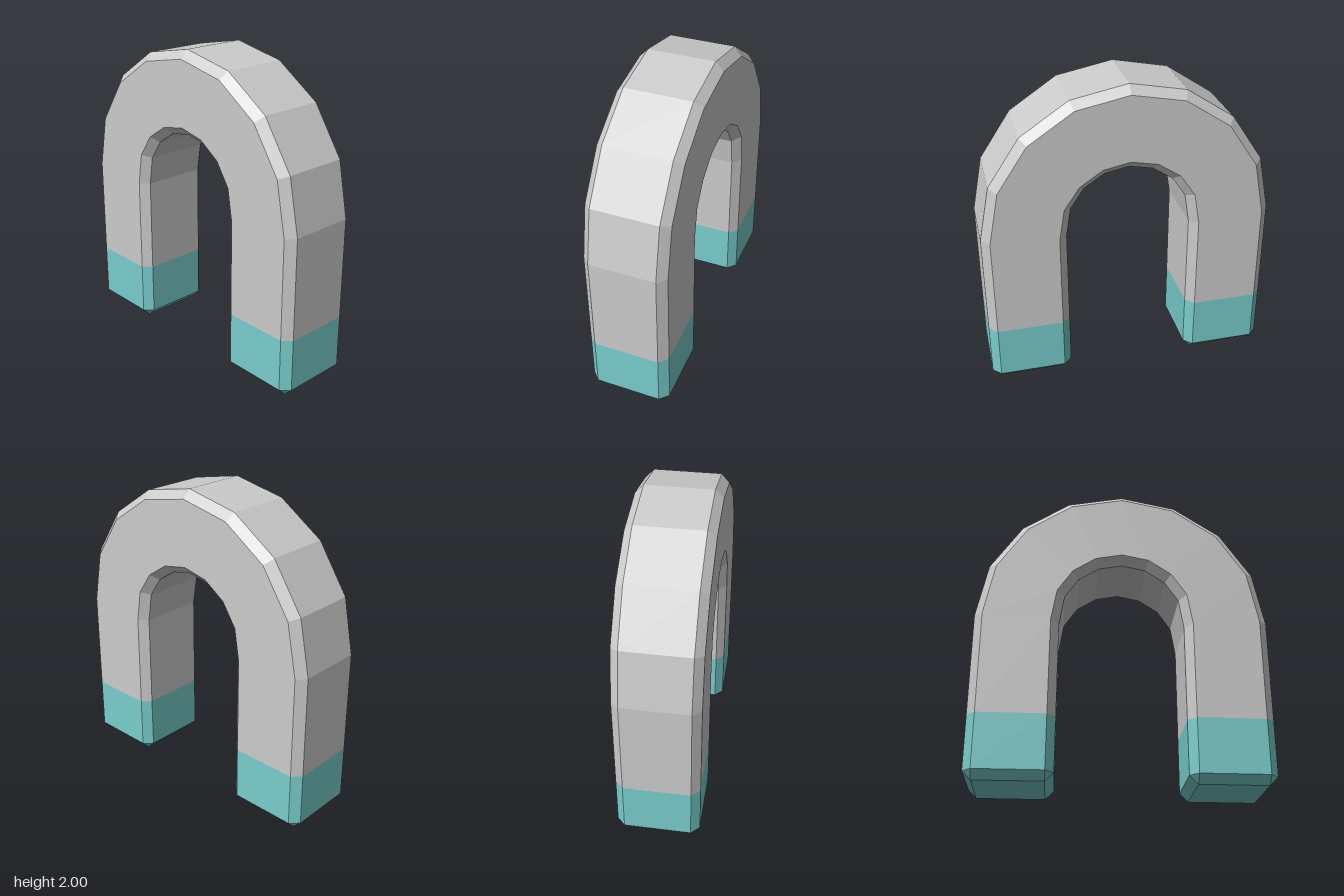
import * as THREE from 'three';

const INNER = 0.40, OUTER = 0.935, DEPTH = 0.267, BEVEL = 0.053;
const CENTER_Y = 1.065, TIP_Y = 0.4, ARC_STEPS = 8;

// Bevelled cross-section as [r, z], r measured from the arch centre
function section() {
  const i = INNER, o = OUTER, d = DEPTH, b = BEVEL;
  return [
    [i + b, d], [o - b, d], [o, d - b], [o, b - d],
    [o - b, -d], [i + b, -d], [i, b - d], [i, d - b],
  ];
}

// The same section shrunk to the plain rectangle of the foot
function footSection() {
  return section().map(([r, z]) => [
    THREE.MathUtils.clamp(r, INNER + BEVEL, OUTER - BEVEL),
    THREE.MathUtils.clamp(z, BEVEL - DEPTH, DEPTH - BEVEL),
  ]);
}

const legRing = (y, side, pts = section()) => pts.map(([r, z]) => new THREE.Vector3(side * r, y, z));

// Ring where a straight leg meets the arch, slightly lower on the inside
const shoulderRing = (side) => section().map(([r, z]) =>
  new THREE.Vector3(side * r, CENTER_Y - 0.04 * (OUTER - r) / (OUTER - INNER), z));

const arcRing = (a) => section().map(([r, z]) =>
  new THREE.Vector3(r * Math.cos(a), CENTER_Y + r * Math.sin(a), z));

// Skin consecutive rings, optionally closing the first one
function loft(rings, capStart = false) {
  const positions = [];
  const tri = (a, b, c) => {
    if (new THREE.Triangle(a, b, c).getArea() > 1e-8) {
      for (const p of [a, b, c]) positions.push(p.x, p.y, p.z);
    }
  };
  for (let i = 0; i < rings.length - 1; i++) {
    const lo = rings[i], hi = rings[i + 1];
    for (let j = 0; j < lo.length; j++) {
      const k = (j + 1) % lo.length;
      tri(lo[j], lo[k], hi[k]);
      tri(lo[j], hi[k], hi[j]);
    }
  }
  if (capStart) {
    const r = rings[0];
    for (let j = 1; j < r.length - 1; j++) tri(r[0], r[j + 1], r[j]);
  }
  const geometry = new THREE.BufferGeometry();
  geometry.setAttribute('position', new THREE.Float32BufferAttribute(positions, 3));
  geometry.computeVertexNormals();
  return geometry;
}

export function createModel() {
  const group = new THREE.Group();
  group.name = 'horseshoeMagnet';
  const grey = new THREE.MeshStandardMaterial({ color: 0xcccccc, flatShading: true });
  const teal = new THREE.MeshStandardMaterial({ color: 0x79cdcc, flatShading: true });

  // Curved body: up one leg, over the arch, down the other leg
  const rings = [legRing(TIP_Y, 1), shoulderRing(1)];
  for (let i = 1; i < ARC_STEPS; i++) rings.push(arcRing(Math.PI * i / ARC_STEPS));
  rings.push(shoulderRing(-1), legRing(TIP_Y, -1));
  const body = new THREE.Mesh(loft(rings), grey);
  body.name = 'body';
  group.add(body);

  // Coloured pole tips with bevelled feet
  const tipGeometry = loft([legRing(0, 1, footSection()), legRing(BEVEL, 1), legRing(TIP_Y, 1)], true);
  for (const [name, turn] of [['leftTip', 0], ['rightTip', Math.PI]]) {
    const tip = new THREE.Mesh(tipGeometry, teal);
    tip.name = name;
    tip.rotation.y = turn;
    group.add(tip);
  }
  return group;
}
